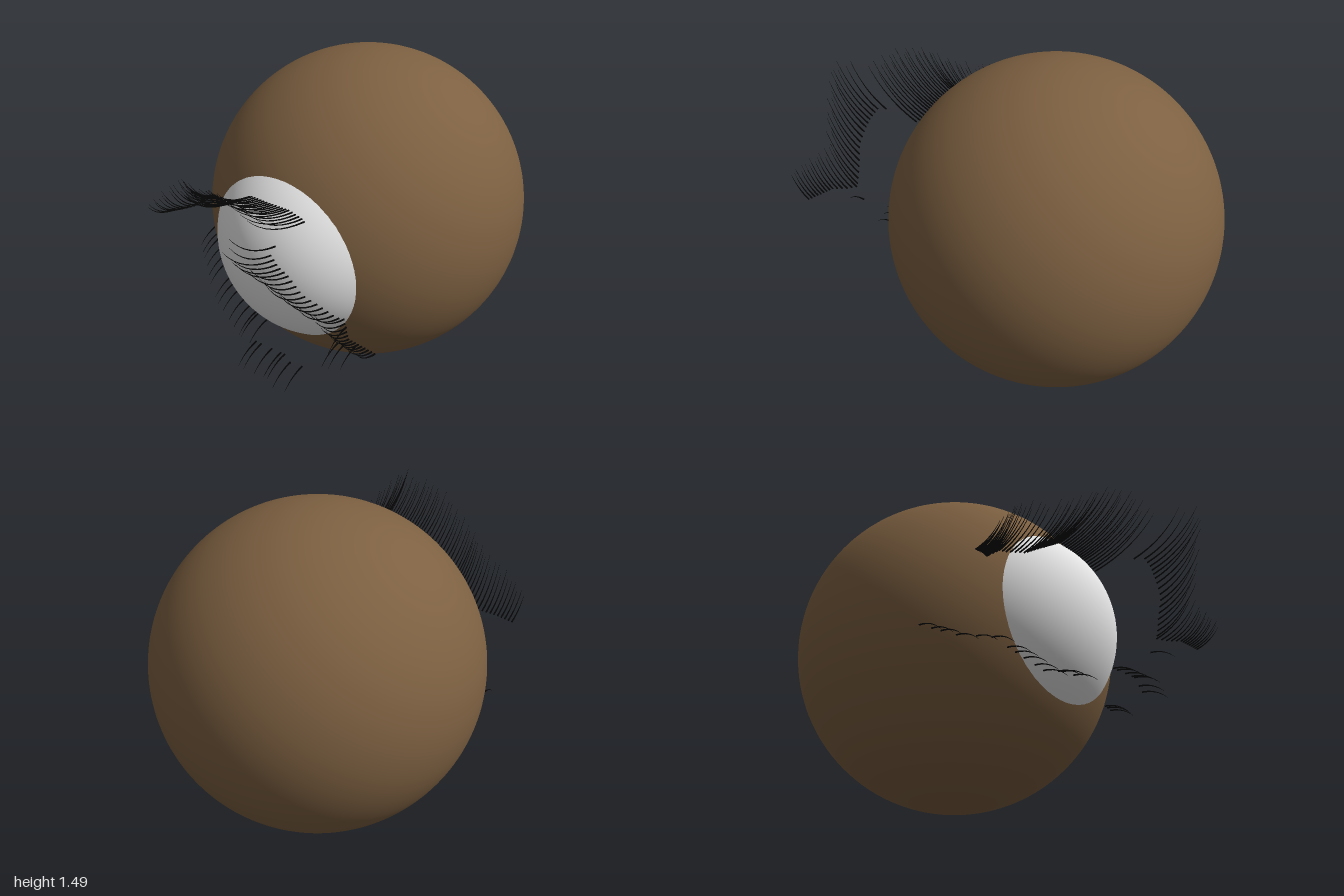
import * as THREE from 'three';

const lidMat = new THREE.MeshStandardMaterial({ color: 0x7d6041 });
lidMat.name = 'brown lid';
const eyeMat = new THREE.MeshStandardMaterial({ color: 0xf2f2f2 });
eyeMat.name = 'eye white';
const lashMat = new THREE.MeshStandardMaterial({ color: 0x050505 });
lashMat.name = 'lash black';

// Linear lookup in rows of [x, a, b, ...]
function sample(rows, x) {
  let i = 0;
  while (i < rows.length - 2 && x > rows[i + 1][0]) i++;
  const p = rows[i], q = rows[i + 1];
  const t = THREE.MathUtils.clamp((x - p[0]) / (q[0] - p[0]), 0, 1);
  return p.slice(1).map((v, k) => v + (q[k + 1] - v) * t);
}

// Tapered hair: a cone bent along a curve lying in a plane of constant x
function lash(name, x, root, mid, tip, radius) {
  const curve = new THREE.QuadraticBezierCurve3(
    new THREE.Vector3(x, ...root), new THREE.Vector3(x, ...mid), new THREE.Vector3(x, ...tip));
  const geo = new THREE.CylinderGeometry(radius * 0.12, radius, 1, 6, 8);
  const pos = geo.attributes.position;
  for (let i = 0; i < pos.count; i++) {
    const t = THREE.MathUtils.clamp(pos.getY(i) + 0.5, 0, 1);
    const c = curve.getPoint(t), d = curve.getTangent(t);
    const w = pos.getZ(i);
    pos.setXYZ(i, c.x + pos.getX(i), c.y - d.z * w, c.z + d.y * w);
  }
  geo.computeVertexNormals();
  const mesh = new THREE.Mesh(geo, lashMat);
  mesh.name = name;
  return mesh;
}

function ball(name, radius, y, z, mat) {
  const mesh = new THREE.Mesh(new THREE.SphereGeometry(radius, 96, 64), mat);
  mesh.name = name;
  mesh.position.set(0, y, z);
  return mesh;
}

// Upper lash line: x, root y, tip y
const upperY = [
  [-0.63, 0.79, 0.87], [-0.5, 0.84, 1.01], [-0.4, 0.92, 1.08], [-0.3, 0.93, 1.09],
  [-0.2, 0.99, 1.15], [-0.1, 1.06, 1.22], [0, 1.06, 1.24], [0.1, 1.06, 1.23],
  [0.2, 1.03, 1.2], [0.3, 0.95, 1.13], [0.4, 0.82, 1.0], [0.45, 0.76, 0.92],
  [0.5, 0.745, 0.87], [0.68, 0.745, 0.83]];
// Upper lash line: x, root z, tip z
const upperZ = [
  [-0.63, 0.45, 0.58], [-0.55, 0.42, 0.57], [-0.45, 0.36, 0.53], [-0.37, 0.38, 0.57],
  [-0.3, 0.43, 0.66], [-0.2, 0.45, 0.7], [-0.1, 0.46, 0.73], [0, 0.46, 0.76],
  [0.18, 0.45, 0.78], [0.2, 0.7, 0.94], [0.25, 0.71, 0.98], [0.35, 0.69, 0.9],
  [0.4, 0.64, 0.86], [0.47, 0.58, 0.78], [0.55, 0.66, 0.79], [0.68, 0.67, 0.8]];
// Lower lash line: x, root y, root z
const lower = [
  [-0.63, 0.56, 0.15], [-0.51, 0.53, 0.24], [-0.4, 0.53, 0.33], [-0.31, 0.48, 0.38],
  [-0.18, 0.43, 0.42], [-0.1, 0.44, 0.46], [-0.03, 0.44, 0.47], [0.02, 0.45, 0.62],
  [0.19, 0.46, 0.62], [0.22, 0.43, 0.62], [0.28, 0.42, 0.6], [0.3, 0.42, 0.39], [0.39, 0.43, 0.36]];
const lowerX = [-0.63, -0.59, -0.56, -0.51, -0.45, -0.4, -0.34, -0.31, -0.27, -0.22, -0.18, -0.12,
  -0.1, -0.04, 0.03, 0.06, 0.12, 0.17, 0.19, 0.22, 0.27, 0.3, 0.33, 0.38];

export function createModel() {
  const model = new THREE.Group();
  model.name = 'eye';

  // Lid ball with the smaller white ball bulging out of its front
  model.add(ball('lidBall', 0.745, 0.745, -0.255, lidMat));
  model.add(ball('eyeWhite', 0.48, 0.745, 0.098, eyeMat));

  // Upper lashes sweep forward and curl up
  const upperLashes = new THREE.Group();
  upperLashes.name = 'upperLashes';
  const count = 82;
  for (let i = 0; i < count; i++) {
    const x = -0.625 + (1.305 * i) / (count - 1);
    const [y0, y1] = sample(upperY, x);
    const [z0, z1] = sample(upperZ, x);
    const k = 0.96 + 0.09 * Math.sin(i * 2.4); // uneven lengths
    const h = (y1 - y0) * k, d = (z1 - z0) * k;
    upperLashes.add(lash('upperLash', x, [y0, z0], [y0 + h * 0.22, z0 + d * 0.65],
      [y0 + h, z0 + d], 0.004));
  }
  model.add(upperLashes);

  // Sparse lower lashes arch forward and droop
  const lowerLashes = new THREE.Group();
  lowerLashes.name = 'lowerLashes';
  const droop = (x, y, z) => lowerLashes.add(
    lash('lowerLash', x, [y, z], [y - 0.005, z + 0.07], [y - 0.055, z + 0.12], 0.004));
  for (const x of lowerX) droop(x, ...sample(lower, x));
  droop(0.46, 0.69, 0.55); // stray lash at the outer corner
  model.add(lowerLashes);

  return model;
}
